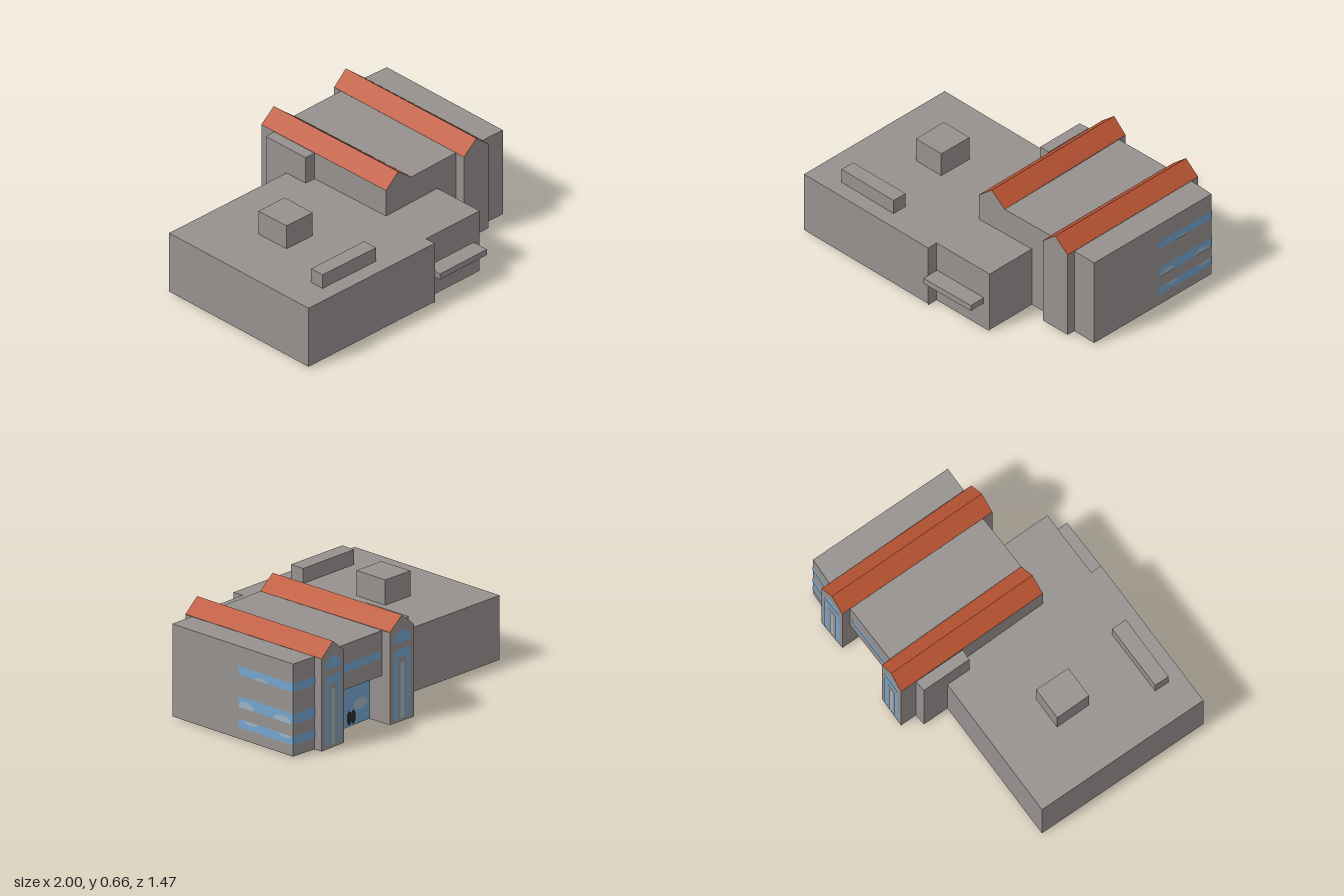
import * as THREE from 'three';

const paint = (name, color) => {
  const m = new THREE.MeshStandardMaterial({ color, side: THREE.DoubleSide });
  m.name = name;
  return m;
};

export function createModel() {
  const stone = paint('grey stone', 0x96918f);
  const tile = paint('red roof', 0xbc5534);
  const glass = paint('blue glass', 0x75a4cf);
  const pale = paint('pale reflection', 0x9db4c4);
  const dark = paint('dark figures', 0x2b2a2a);
  const model = new THREE.Group();
  model.name = 'building';

  const add = (parent, name, geometry, material) => {
    const mesh = new THREE.Mesh(geometry, material);
    mesh.name = name;
    parent.add(mesh);
    return mesh;
  };

  // Flat faces from loops of 3 or 4 corners, counter-clockwise from outside
  const faces = (list) => {
    const pos = [];
    for (const f of list)
      for (let i = 1; i < f.length - 1; i++) pos.push(...f[0], ...f[i], ...f[i + 1]);
    const g = new THREE.BufferGeometry();
    g.setAttribute('position', new THREE.Float32BufferAttribute(pos, 3));
    g.computeVertexNormals();
    return g;
  };

  // Upright walls along a path of [x, z] points
  const wallQuad = (a, b, y0, y1) =>
    [[a[0], y0, a[1]], [b[0], y0, b[1]], [b[0], y1, b[1]], [a[0], y1, a[1]]];
  const walls = (name, path, y0, y1) =>
    add(model, name, faces(path.slice(1).map((b, i) => wallQuad(path[i], b, y0, y1))), stone);

  // Horizontal slab outline at height y
  const deck = (name, outline, y) => {
    const shape = new THREE.Shape(outline.map(([x, z]) => new THREE.Vector2(x, -z)));
    const mesh = add(model, name, new THREE.ShapeGeometry(shape).rotateX(-Math.PI / 2), stone);
    mesh.position.y = y;
  };

  // Low wing, slightly skewed on plan, open underneath
  const LOW = 0.405, HIGH = 0.577, BASE = 0.01;
  const sw = [-1, 0.64], porchA = [0.01, 0.68], porchB = [0.01, 0.61], porchC = [0.44, 0.625];
  const lowEnd = [0.45, 0.28], lowBack = [-0.025, -0.46], nw = [-0.96, -0.5];
  walls('lowWingWalls', [lowBack, nw, sw, porchA], BASE, LOW);
  walls('entranceBlockWalls', [porchA, porchB, porchC], 0, LOW);
  walls('entranceBlockSide', [porchC, lowEnd], BASE, LOW);
  deck('lowWingRoof', [sw, porchA, porchB, porchC, lowEnd, [0.03, 0.275],
    [0.04, -0.3], [-0.03, -0.305], lowBack, nw], LOW);

  // Rooftop units and front canopy
  const unit = (name, outline, y0, y1) => {
    walls(name + 'Sides', [...outline, outline[0]], y0, y1);
    deck(name + 'Top', outline, y1);
  };
  unit('longRooftopUnit', [[-0.79, 0.55], [-0.365, 0.57], [-0.36, 0.473], [-0.785, 0.457]], LOW, 0.497);
  unit('squareRooftopUnit', [[-0.62, 0.105], [-0.415, 0.115], [-0.405, -0.112], [-0.615, -0.122]], LOW, 0.56);
  const canopy = [[0.01, 0.72], [0.39, 0.73], [0.392, 0.623], [0.015, 0.608]];
  unit('canopy', canopy, 0.175, 0.213);
  deck('canopyUnderside', canopy, 0.175);

  // Stair block against the tall wing
  const stair = [[0.05, -0.63], [-0.02, -0.627], [-0.03, -0.305], [0.04, -0.3]];
  walls('stairBlockWalls', stair, BASE, HIGH);
  deck('stairBlockRoof', stair, HIGH);

  // Tall wing, with a gabled bay at each side of the recess
  const g1 = { front: [[0.03, 0.275], [0.13, 0.276], [0.235, 0.278]],
    back: [[0.055, -0.735], [0.153, -0.73], [0.25, -0.722]] };
  const g2 = { front: [[0.6, 0.35], [0.7, 0.352], [0.8, 0.355]],
    back: [[0.635, -0.711], [0.733, -0.711], [0.83, -0.71]] };
  const midBackL = [0.252, -0.665], midBackR = [0.633, -0.655];
  const wingF = [0.803, 0.302], se = [0.965, 0.31], ne = [1, -0.64], wingB = [0.829, -0.655];
  walls('tallWingWalls', [midBackL, g1.back[2], g1.back[0], g1.front[0], g1.front[2], [0.602, 0.284],
    g2.front[0], g2.front[2], wingF, se, ne, wingB, g2.back[2], g2.back[0], midBackR], BASE, HIGH);
  deck('tallWingMiddleRoof', [g1.front[2], [0.602, 0.284], midBackR, midBackL], HIGH);
  deck('tallWingSideRoof', [wingF, se, ne, wingB], HIGH);

  [g1, g2].forEach(({ front, back }, i) => {
    const at = ([x, z], y) => [x, y, z];
    const [fl, fr, fe] = front.map((p, k) => at(p, k === 1 ? 0.66 : HIGH));
    const [bl, br, be] = back.map((p, k) => at(p, k === 1 ? 0.66 : HIGH));
    add(model, 'gableRoof' + (i + 1), faces([[fl, fr, br, bl], [fe, be, br, fr]]), tile);
    add(model, 'gableEnds' + (i + 1), faces([[fl, fe, fr], [be, bl, br]]), stone);
  });

  // Recessed rear entrance beneath the upper wall
  const LINTEL = 0.3, inR = [0.63, -0.56], inL = [0.25, -0.565];
  walls('upperRearWall', [midBackR, midBackL], LINTEL, HIGH);
  walls('recessLeftReturn', [midBackR, inR], BASE, LINTEL);
  walls('recessRightReturn', [inL, midBackL], BASE, LINTEL);
  deck('recessSoffit', [inL, inR, midBackR, midBackL], LINTEL);

  // Painted details sit in a frame: x along the wall, y up, z outward
  const wallFrame = (name, a, b) => {
    const g = new THREE.Group();
    g.name = name;
    g.position.set(a[0], 0, a[1]);
    g.rotation.y = Math.atan2(a[1] - b[1], b[0] - a[0]);
    g.userData.length = Math.hypot(b[0] - a[0], b[1] - a[1]);
    model.add(g);
    return g;
  };
  const rect = (parent, name, u0, u1, y0, y1, mat, lift = 0.003) => {
    const mesh = add(parent, name, new THREE.PlaneGeometry(u1 - u0, y1 - y0), mat);
    mesh.position.set((u0 + u1) / 2, (y0 + y1) / 2, lift);
  };
  // Half or full ellipse: start and end are angles
  const oval = (parent, name, u, y, rx, ry, mat, start = 0, end = Math.PI, lift = 0.005) => {
    const mesh = add(parent, name, new THREE.CircleGeometry(1, 20, start, end - start), mat);
    mesh.scale.set(rx, ry, 1);
    mesh.position.set(u, y, lift);
  };
  const BANDS = [[0.08, 0.133], [0.207, 0.272], [0.405, 0.457]];

  // Side windows with pale reflections
  const side = wallFrame('sideWindows', se, ne);
  BANDS.forEach(([y0, y1]) => rect(side, 'windowBand', 0.523, 0.95, y0, y1, glass));
  oval(side, 'reflection', 0.705, 0.405, 0.05, 0.017, pale);
  oval(side, 'reflection', 0.585, 0.207, 0.06, 0.042, pale);
  oval(side, 'reflection', 0.87, 0.207, 0.07, 0.037, pale);
  oval(side, 'reflection', 0.625, 0.133, 0.055, 0.02, pale, Math.PI, Math.PI * 2);
  oval(side, 'reflection', 0.89, 0.133, 0.05, 0.02, pale, Math.PI, Math.PI * 2);

  // Rear windows of the end wing and the middle
  const wing = wallFrame('rearWingWindows', ne, wingB);
  BANDS.forEach(([y0, y1]) => rect(wing, 'windowBand', 0, wing.userData.length, y0, y1, glass));
  const mid = wallFrame('rearMiddleWindow', midBackR, midBackL);
  rect(mid, 'windowBand', 0.02, mid.userData.length - 0.02, ...BANDS[2], glass);

  // Arched windows on both rear bays
  for (const g of [g1, g2]) {
    const bay = wallFrame('archedWindow', g.back[2], g.back[0]);
    const c = bay.userData.length / 2;
    oval(bay, 'archLight', c, 0.495, 0.068, 0.075, glass, 0, Math.PI, 0.003);
    rect(bay, 'archHead', c - 0.068, c + 0.068, 0.405, 0.455, glass);
    for (const s of [-1, 1])
      rect(bay, 'archSide', c + s * 0.052 - 0.016, c + s * 0.052 + 0.016, 0.03, 0.405, glass);
    rect(bay, 'archCentre', c - 0.016, c + 0.016, 0.03, 0.37, pale);
  }

  // Entrance glazing with reflections and dark figures
  const entry = wallFrame('entranceGlazing', inR, inL);
  rect(entry, 'glazing', 0, entry.userData.length, BASE, LINTEL, glass, 0);
  oval(entry, 'reflection', 0.06, 0.15, 0.05, 0.04, pale, 0, Math.PI * 2);
  oval(entry, 'reflection', 0.3, 0.13, 0.06, 0.035, pale, 0, Math.PI * 2);
  for (const u of [0.055, 0.09, 0.2, 0.235])
    oval(entry, 'figure', u, 0.065, 0.02, 0.042, dark, 0, Math.PI * 2, 0.007);

  return model;
}
